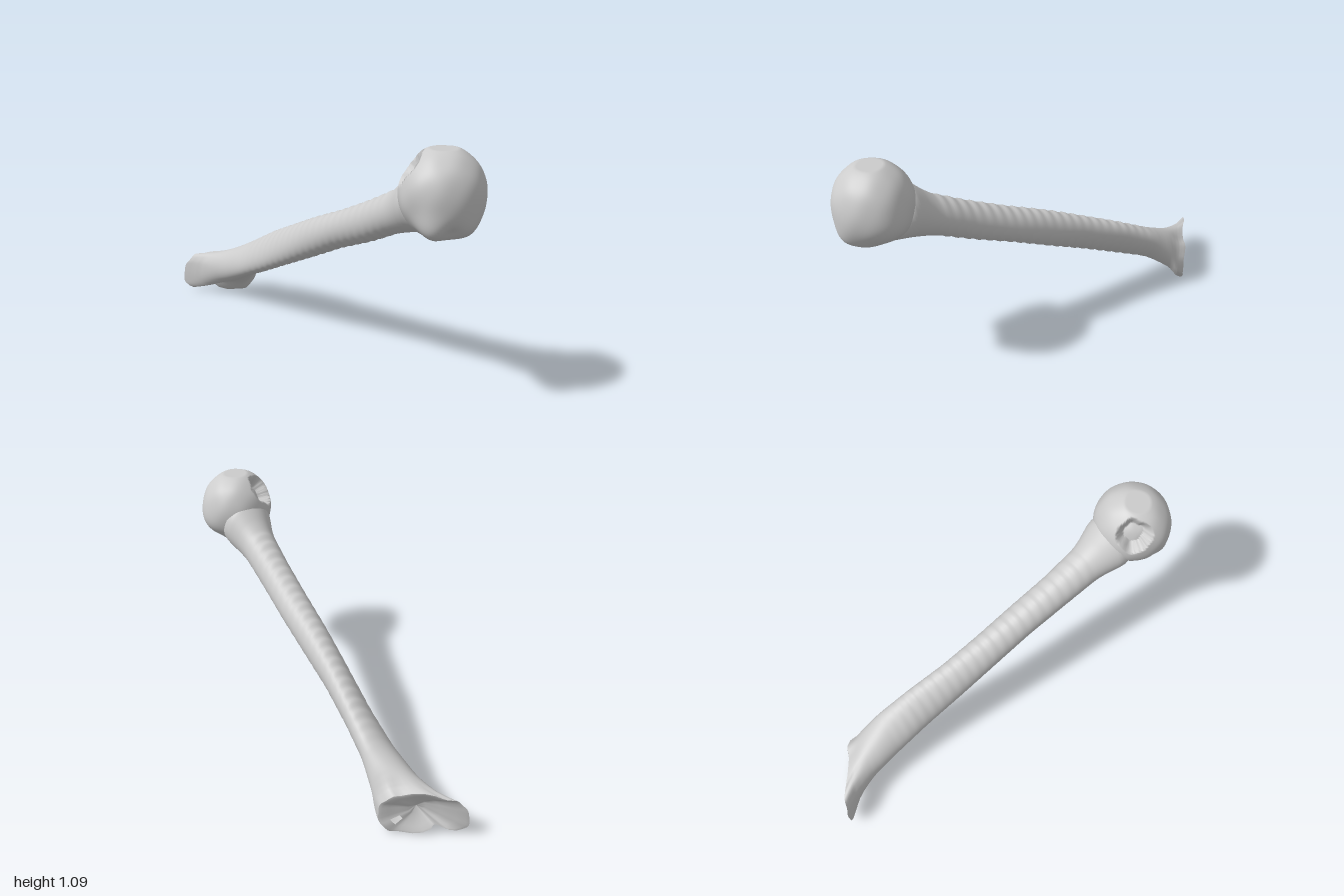
import * as THREE from 'three';
import { mergeVertices } from 'three/addons/utils/BufferGeometryUtils.js';

const SIDES = 48;
const RINGS = 170;

// Skin a list of closed rings; skip(i, j) leaves a gap.
function loft(rings, skip = () => false) {
  const pos = rings.flat().flatMap(p => [p.x, p.y, p.z]);
  const index = [];
  for (let i = 0; i < rings.length - 1; i++) {
    for (let j = 0; j < SIDES; j++) {
      if (skip(i, j)) continue;
      const a = i * SIDES + j, b = i * SIDES + (j + 1) % SIDES;
      index.push(a, a + SIDES, b, b, a + SIDES, b + SIDES);
    }
  }
  const g = new THREE.BufferGeometry();
  g.setAttribute('position', new THREE.Float32BufferAttribute(pos, 3));
  g.setIndex(index);
  g.computeVertexNormals();
  return g;
}

// Shaft stations: z, xMin, xMax, yMin, yMax, skew of z across x, tilt of y across x, fossa depth
const stations = [
  [0.78, -0.11, 0.09, 0.742, 0.93, 0, 0, 0],
  [0.70, -0.15, 0.118, 0.73, 1.005, 0, 0, 0],
  [0.65, -0.126, 0.10, 0.715, 0.96, 0, 0, 0],
  [0.58, -0.10, 0.08, 0.693, 0.892, 0, 0, 0],
  [0.40, -0.08, 0.083, 0.61, 0.80, 0, 0, 0],
  [0.20, -0.062, 0.097, 0.53, 0.71, 0, 0, 0],
  [0.00, -0.05, 0.105, 0.435, 0.63, 0, 0.01, 0],
  [-0.20, -0.036, 0.118, 0.343, 0.543, 0, 0.03, 0],
  [-0.40, -0.02, 0.146, 0.25, 0.455, 0, 0.045, 0],
  [-0.58, -0.015, 0.17, 0.163, 0.366, 0.01, 0.045, 0.04],
  [-0.72, -0.02, 0.188, 0.07, 0.292, 0.045, 0.02, 0.18],
  [-0.81, -0.052, 0.197, 0.012, 0.245, 0.095, 0, 0.42],
  [-0.87, -0.105, 0.203, -0.004, 0.23, 0.12, 0, 0.55],
];

// Piecewise linear blend eased by averaging neighbouring samples
function sample(z) {
  const at = q => {
    q = THREE.MathUtils.clamp(q, -0.87, 0.78);
    let k = 0;
    while (k < stations.length - 2 && stations[k + 1][0] > q) k++;
    const A = stations[k], B = stations[k + 1], t = (A[0] - q) / (A[0] - B[0]);
    return A.map((v, n) => v + (B[n] - v) * t);
  };
  const h = Math.min(0.03, 0.78 - z, z + 0.87);
  const l = at(z - h), m = at(z), r = at(z + h);
  return m.map((v, n) => (l[n] + 2 * v + r[n]) / 4);
}

function shaftRing(z) {
  const [zc, x0, x1, y0, y1, skew, tilt, fossa] = sample(z);
  const H = (y1 - y0) / 2;
  const h = Math.sqrt(H * H - tilt * tilt);
  // fine stepped ripple along the middle of the shaft
  const fade = THREE.MathUtils.smoothstep(z, -0.65, -0.4) * (1 - THREE.MathUtils.smoothstep(z, 0.5, 0.62));
  const ripple = 0.003 * fade * Math.sin(z * Math.PI * 2 / 0.052);
  // the lower end turns squarer in section and ragged at the rim
  const end = THREE.MathUtils.smoothstep(-z, 0.72, 0.87);
  const power = 1 - 0.3 * end;
  const square = v => Math.sign(v) * Math.abs(v) ** power;
  return Array.from({ length: SIDES }, (_, j) => {
    const a = j / SIDES * Math.PI * 2;
    const c = square(Math.cos(a)), s = square(Math.sin(a));
    const f = 1 - fossa * Math.exp(-(((a - 4.4) / (0.5 - 0.17 * end)) ** 2));
    const splay = 0.018 * end * s * Math.max(0, -c);
    return new THREE.Vector3(
      (x0 + x1) / 2 + (x1 - x0) / 2 * c * f + splay,
      (y0 + y1) / 2 + (h * s + tilt * c) * f + ripple * s + end * 0.006 * Math.sin(9 * a) * Math.abs(s),
      zc + skew * c * f + end * 0.008 * Math.sin(5 * a + 1) * Math.abs(s));
  });
}

// Rounded head: an ellipsoid with lobes, a groove, a flat crown and a broken hollow
function headGeometry() {
  let g = new THREE.SphereGeometry(1, 112, 72);
  g.deleteAttribute('uv');
  g.deleteAttribute('normal');
  g = mergeVertices(g, 1e-4);
  const dir = (x, y, z) => new THREE.Vector3(x, y, z).normalize();
  const features = [ // direction, height, angular width
    [dir(-0.13, -0.12, 0.08), 0.036, 0.34],
    [dir(-0.075, -0.13, 0.12), -0.016, 0.2],
    [dir(0, -0.12, 0.145), 0.024, 0.4],
    [dir(-0.15, 0.04, 0.05), 0.006, 0.5],
    [dir(0.15, -0.05, 0), 0.012, 0.4],
    [dir(0.12, -0.14, 0), -0.01, 0.4],
  ];
  const hollow = dir(-0.1, 0.1, -0.1);
  const p = g.attributes.position, v = new THREE.Vector3();
  for (let i = 0; i < p.count; i++) {
    v.fromBufferAttribute(p, i).normalize();
    let r = 1;
    for (const [d, height, width] of features) {
      r += height / 0.18 * Math.exp(-((v.angleTo(d) / width) ** 2));
    }
    r += 0.01 * Math.sin(7 * v.x + 2) * Math.sin(6 * v.y) * Math.sin(8 * v.z + 1);
    const edge = 0.46 + 0.03 * Math.sin(16 * v.x) + 0.02 * Math.sin(23 * v.z);
    r -= 0.34 * (1 - THREE.MathUtils.smoothstep(v.angleTo(hollow), edge - 0.06, edge));
    p.setXYZ(i,
      -0.025 + 0.178 * r * v.x,
      Math.min(0.922 + 0.187 * r * v.y, 1.098),
      0.823 + 0.173 * r * v.z);
  }
  g.computeVertexNormals();
  return g;
}

export function createModel() {
  const group = new THREE.Group();
  group.name = 'armBone';
  const material = new THREE.MeshStandardMaterial({ color: 0xcccccc, side: THREE.DoubleSide });
  const add = (name, geometry) => {
    const mesh = new THREE.Mesh(geometry, material);
    mesh.name = name;
    group.add(mesh);
  };

  const rings = Array.from({ length: RINGS }, (_, i) => shaftRing(0.78 - 1.65 * i / (RINGS - 1)));
  add('shaft', loft(rings));

  // Shallow end face with an upright groove and a small perforation
  const rim = rings[RINGS - 1];
  const centre = new THREE.Vector3(0.045, 0.13, -0.87);
  const face = [[1, 0], [0.92, 0], [0.75, 0.01], [0.5, 0.022], [0.25, 0.03], [0, 0.035]].map(([k, depth]) =>
    rim.map(p => {
      const q = centre.clone().lerp(p, k);
      q.z += depth + 0.05 * (1 - k) * Math.exp(-((q.x / 0.05) ** 2));
      return q;
    }));
  add('brokenEnd', loft(face, (i, j) => i === 2 && j > 41 && j < 45));

  add('head', headGeometry());
  return group;
}
